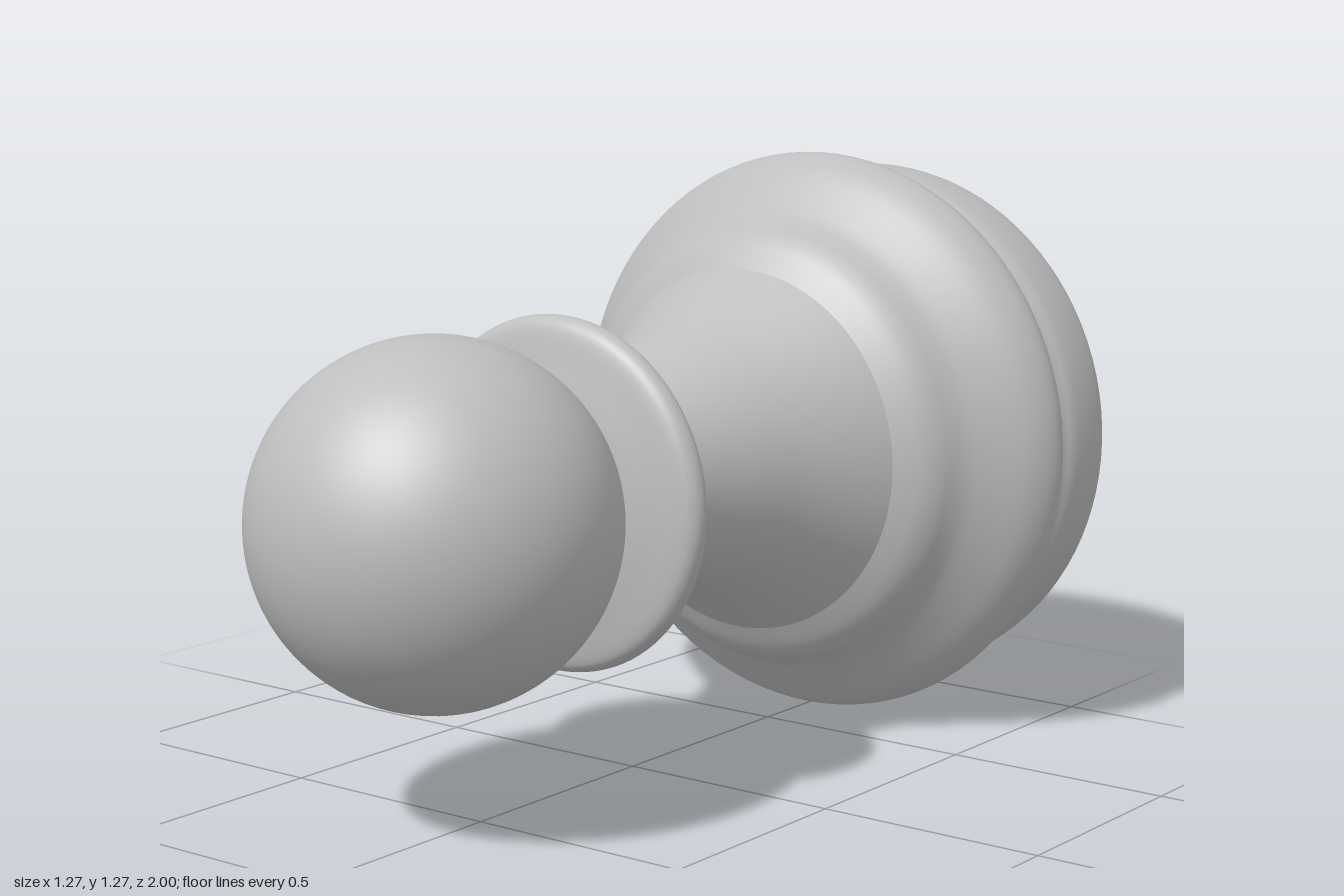
import * as THREE from 'three';

const SEGMENTS = 96;
const AXIS_HEIGHT = 0.635;

// Revolve a smooth curve through [radius, z] points about the z axis
function turned(name, profile, samples, material) {
  const curve = new THREE.SplineCurve(profile.map(([r, z]) => new THREE.Vector2(r, z)));
  const geometry = new THREE.LatheGeometry(curve.getPoints(samples), SEGMENTS);
  geometry.rotateX(Math.PI / 2);
  const mesh = new THREE.Mesh(geometry, material);
  mesh.name = name;
  return mesh;
}

export function createModel() {
  const grey = new THREE.MeshStandardMaterial({ color: 0xbebebe });
  grey.name = 'plain grey';

  const pawn = new THREE.Group();
  pawn.name = 'pawn';
  pawn.position.y = AXIS_HEIGHT;

  // Flat underside of the base, facing backwards
  const underside = new THREE.Mesh(new THREE.CircleGeometry(0.515, SEGMENTS), grey);
  underside.name = 'underside';
  underside.rotation.y = Math.PI;
  underside.position.z = -1;

  // Rounded foot, groove, wide bead and stepped shoulder
  const base = turned('base', [
    [0.515, -1], [0.555, -0.988], [0.582, -0.96], [0.592, -0.92], [0.595, -0.87],
    [0.592, -0.825], [0.58, -0.795], [0.575, -0.765], [0.602, -0.735], [0.627, -0.71],
    [0.634, -0.68], [0.625, -0.645], [0.6, -0.605], [0.545, -0.55], [0.513, -0.515],
    [0.495, -0.485], [0.478, -0.45], [0.45, -0.418], [0.4, -0.385],
  ], 100, grey);

  // Flared stem
  const stem = turned('stem', [
    [0.4, -0.385], [0.345, -0.29], [0.3, -0.2], [0.262, -0.1],
    [0.229, 0], [0.204, 0.1], [0.183, 0.2],
  ], 40, grey);

  // Thin lens-like collar
  const collar = turned('collar', [
    [0.17, 0.187], [0.23, 0.194], [0.29, 0.204], [0.345, 0.216], [0.365, 0.23],
    [0.37, 0.248], [0.362, 0.267], [0.34, 0.28], [0.28, 0.293], [0.22, 0.305], [0.17, 0.309],
  ], 60, grey);

  // Ball head, poles along the z axis
  const headGeometry = new THREE.SphereGeometry(0.372, SEGMENTS, 64);
  headGeometry.rotateX(Math.PI / 2);
  const head = new THREE.Mesh(headGeometry, grey);
  head.name = 'head';
  head.position.z = 0.628;

  pawn.add(underside, base, stem, collar, head);
  const model = new THREE.Group();
  model.name = 'lyingPawn';
  model.add(pawn);
  return model;
}
